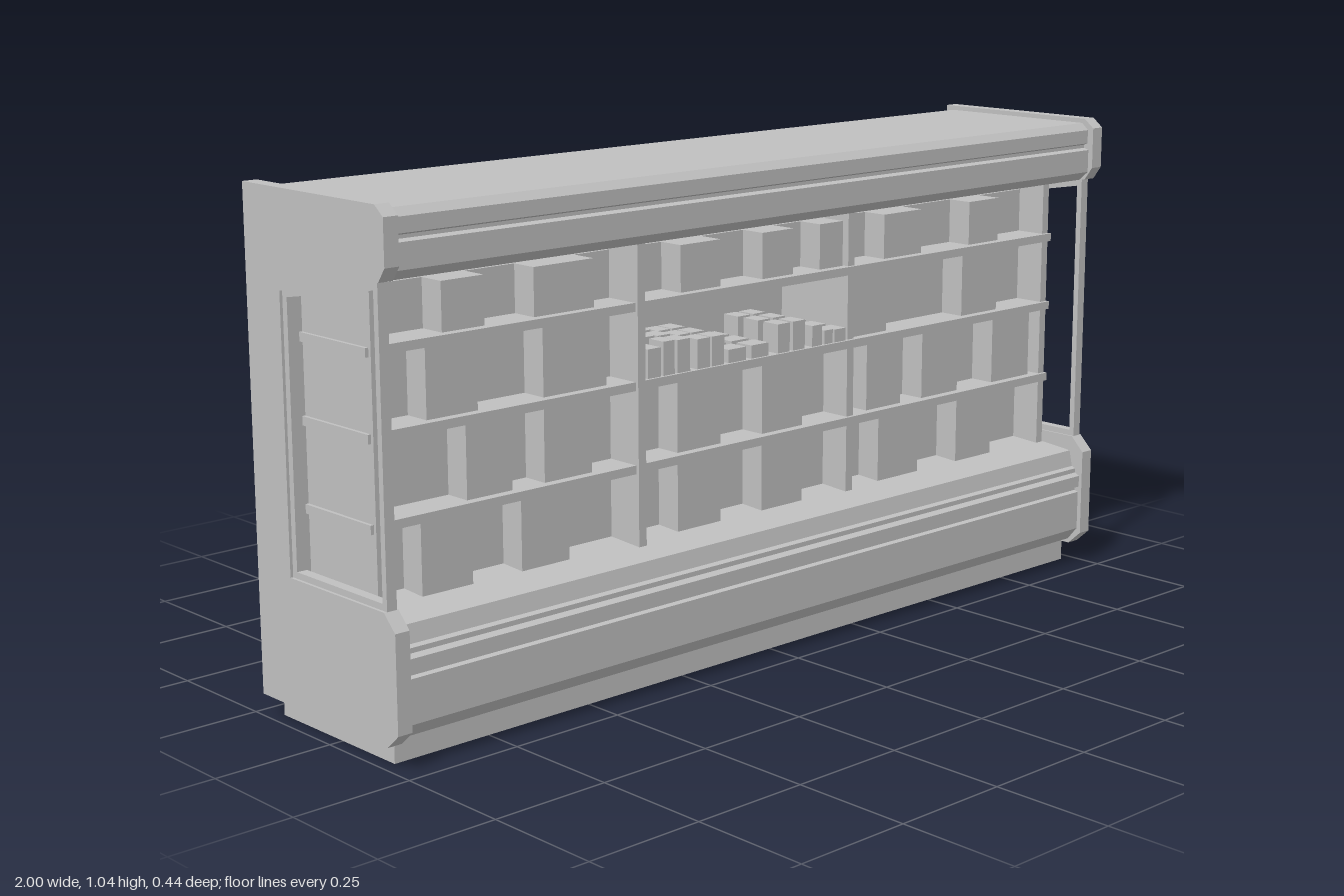
import * as THREE from 'three';

const grey = new THREE.MeshStandardMaterial({ color: 0xc0c0c0 });
grey.name = 'light grey';

// Extrudes a [z, y] outline along x, from x0 to x1
function extrudeX(name, outline, x0, x1, hole) {
  const toPoints = (list) => list.map(([z, y]) => new THREE.Vector2(z, y));
  const shape = new THREE.Shape(toPoints(outline));
  if (hole) shape.holes.push(new THREE.Path(toPoints(hole)));
  const geometry = new THREE.ExtrudeGeometry(shape, { depth: x1 - x0, bevelEnabled: false });
  geometry.rotateY(-Math.PI / 2);
  geometry.translate(x1, 0, 0);
  const mesh = new THREE.Mesh(geometry, grey);
  mesh.name = name;
  return mesh;
}

// Box given by its limits on each axis
function block(name, x0, x1, y0, y1, z0, z1) {
  const mesh = new THREE.Mesh(new THREE.BoxGeometry(x1 - x0, y1 - y0, z1 - z0), grey);
  mesh.name = name;
  mesh.position.set((x0 + x1) / 2, (y0 + y1) / 2, (z0 + z1) / 2);
  return mesh;
}

export function createModel() {
  const model = new THREE.Group();
  model.name = 'refrigeratedDisplayCase';

  // Plinth and C-shaped cabinet with stepped front trim
  model.add(block('plinth', -0.97, 0.97, 0, 0.056, -0.195, 0.165));
  model.add(extrudeX('cabinet', [
    [-0.218, 0.055], [0.185, 0.055], [0.21, 0.085],
    [0.21, 0.173], [0.2, 0.176], [0.2, 0.183], [0.212, 0.186],
    [0.212, 0.212], [0.2, 0.218], [0.2, 0.228], [0.19, 0.232],
    [0.182, 0.268], [0.165, 0.27], [0.11, 0.275], [-0.1, 0.288],
    [-0.1, 0.853], [0.17, 0.902], [0.185, 0.905], [0.208, 0.925],
    [0.208, 0.975], [0.195, 0.979], [0.195, 0.986], [0.205, 0.99],
    [0.205, 1.02], [0.188, 1.035], [-0.2, 1.035], [-0.218, 1.032],
  ], -0.97, 0.97));

  // End panels, notched for the side windows, and window frames
  for (const side of [-1, 1]) {
    const span = (a, b) => (side > 0 ? [a, b] : [-b, -a]);
    model.add(extrudeX('endPanel', [
      [-0.22, 0.045], [0.187, 0.045], [0.22, 0.075], [0.22, 0.27],
      [0.187, 0.303], [-0.11, 0.303], [-0.11, 0.853], [0.2, 0.907],
      [0.22, 0.935], [0.22, 1.025], [0.195, 1.045], [-0.22, 1.045],
    ], ...span(0.968, 1)));
    model.add(extrudeX('windowFrame', [
      [-0.11, 0.303], [0.189, 0.303], [0.189, 0.905], [-0.11, 0.853],
    ], ...span(0.972, 0.994), [
      [-0.096, 0.316], [0.176, 0.316], [0.176, 0.89], [-0.096, 0.842],
    ]));
  }

  // Upright dividers between the bays
  for (const [x, front] of [[-0.95, 0.115], [-0.31, 0.115], [0.305, 0.1], [0.955, 0.1]]) {
    model.add(extrudeX('divider', [
      [-0.1, 0.28], [front, 0.27], [front, 0.892], [-0.1, 0.853],
    ], x - 0.01, x + 0.01));
  }

  // Shelves
  for (const y of [0.434, 0.604, 0.764]) {
    model.add(block('shelf', -0.967, 0.967, y - 0.009, y + 0.009, -0.1, 0.108));
  }

  // Stock: a recessed run in each bay with boxes standing forward of it
  const bays = [[-0.94, -0.32], [-0.3, 0.295], [0.315, 0.945]];
  const rows = [
    { y0: 0.275, y1: 0.426, boxes: [[-0.84, -0.72], [-0.6, -0.48], [-0.19, -0.07], [0.05, 0.17], [0.41, 0.54], [0.67, 0.79]] },
    { y0: 0.443, y1: 0.596, boxes: [[-0.73, -0.62], [-0.54, -0.42], [-0.19, -0.07], [0.05, 0.17], [0.37, 0.48], [0.55, 0.67], [0.79, 0.92]] },
    { y0: 0.613, y1: 0.756, boxes: [[-0.82, -0.7], [-0.54, -0.38], [0.32, 0.43], [0.68, 0.8]] },
    { y0: 0.773, y1: 0.87, boxes: [[-0.78, -0.68], [-0.56, -0.41], [-0.18, -0.07], [0.05, 0.14], [0.22, 0.29], [0.42, 0.54], [0.7, 0.8]] },
  ];
  rows.forEach(({ y0, y1, boxes }, r) => {
    bays.forEach(([a, b], i) => {
      if (r === 2 && i === 1) return;
      model.add(block('stockRun', a, b, y0, y1, -0.1, 0.03));
    });
    for (const [a, b] of boxes) model.add(block('stockBox', a, b, y0, y1, -0.09, 0.088));
  });

  // Small packages on the middle shelf, in three ranks: x, width, height
  const packs = [
    [-0.265, 0.035, 0.06], [-0.225, 0.03, 0.07], [-0.185, 0.035, 0.068],
    [-0.13, 0.035, 0.062], [-0.09, 0.035, 0.062], [-0.035, 0.05, 0.028],
    [0.03, 0.05, 0.028], [0.1, 0.035, 0.062], [0.145, 0.035, 0.062],
    [0.2, 0.03, 0.045], [0.235, 0.025, 0.03], [0.27, 0.035, 0.028],
  ];
  for (const [x, w, h] of packs) {
    for (const z of [-0.04, 0.02, 0.08]) {
      model.add(block('package', x - w / 2, x + w / 2, 0.612, 0.613 + h, z - 0.022, z + 0.022));
    }
  }
  return model;
}
